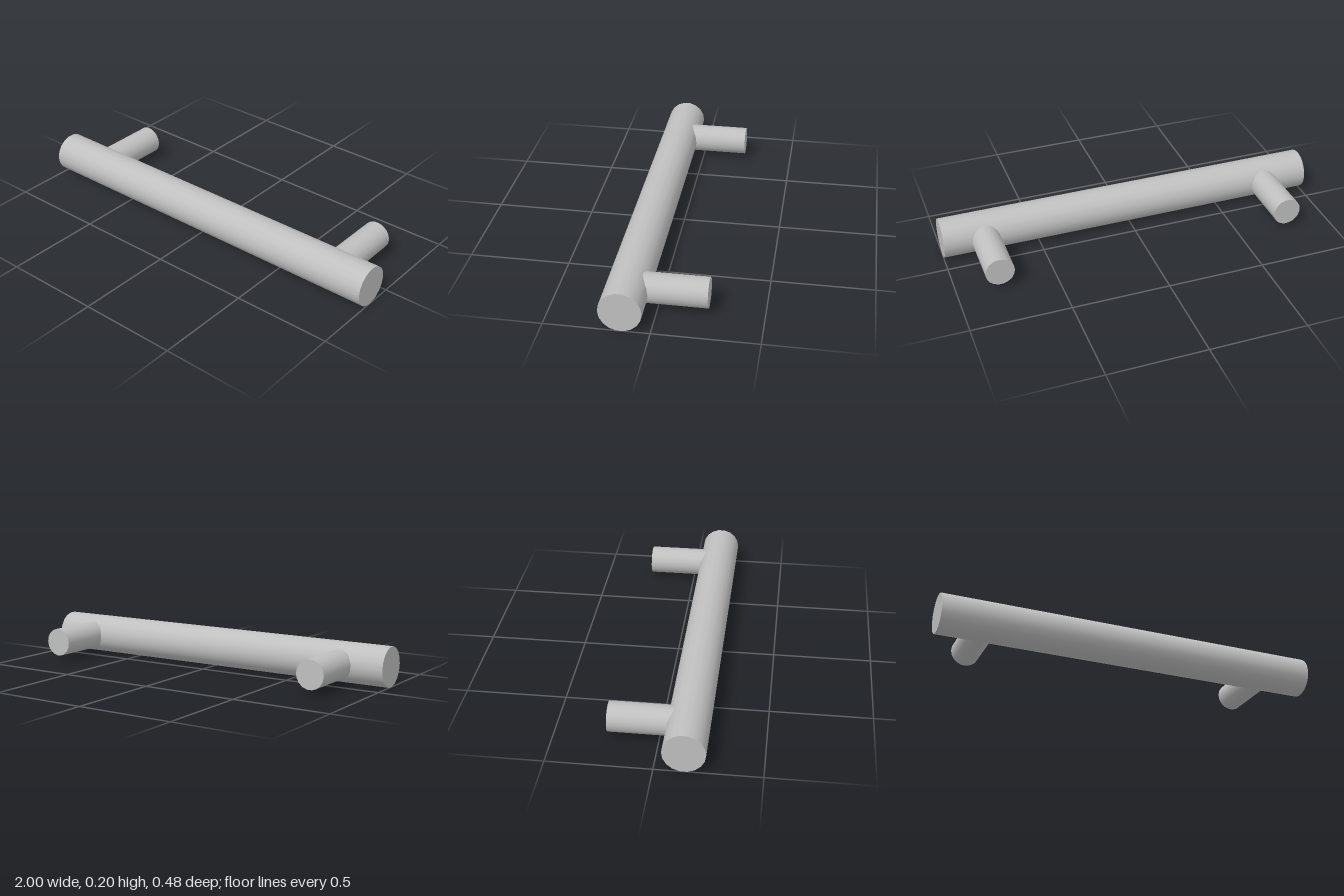
import * as THREE from 'three';

const SIDES = 18;

export function createModel() {
  const group = new THREE.Group();
  group.name = 'barHandle';
  const steel = new THREE.MeshStandardMaterial({ color: 0xc0c0c0 });
  steel.name = 'brushed steel';

  const barY = 0.1, barZ = 0.139, backZ = -0.24;

  // Long grip bar along x
  const barGeometry = new THREE.CylinderGeometry(0.1016, 0.1016, 2, SIDES);
  barGeometry.rotateZ(Math.PI / 2);
  const bar = new THREE.Mesh(barGeometry, steel);
  bar.name = 'gripBar';
  bar.position.set(0, barY, barZ);
  group.add(bar);

  // Two mounting posts running back from the bar's axis
  const length = barZ - backZ;
  const postGeometry = new THREE.CylinderGeometry(0.0735, 0.0735, length, SIDES, 1, false, Math.PI / 2);
  postGeometry.rotateX(Math.PI / 2);
  for (const [name, x] of [['rightPost', -0.759], ['leftPost', 0.783]]) {
    const post = new THREE.Mesh(postGeometry, steel);
    post.name = name;
    post.position.set(x, barY, (barZ + backZ) / 2);
    group.add(post);
  }
  return group;
}
